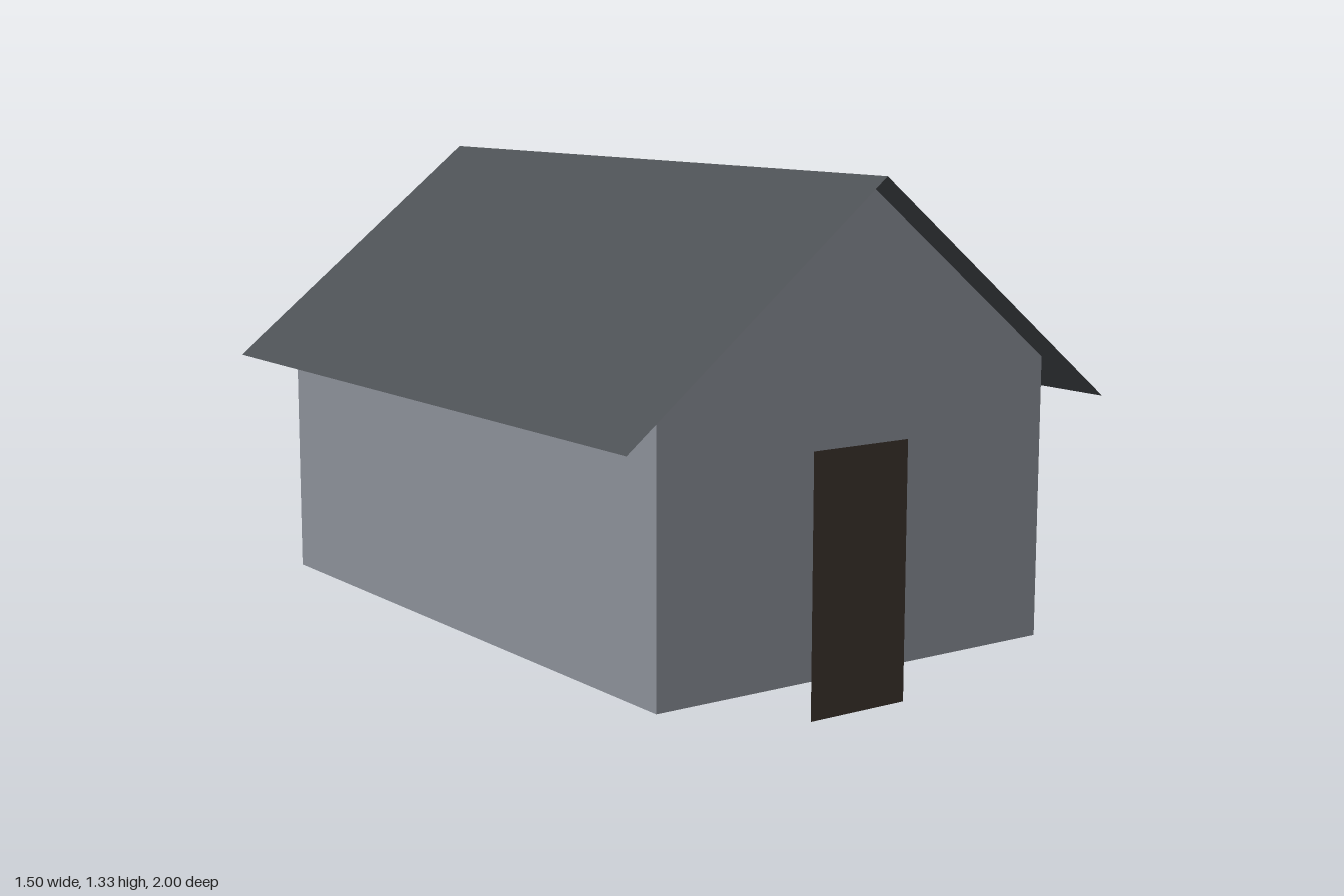
import * as THREE from 'three';

const flat = (name, color) =>
  new THREE.MeshStandardMaterial({ name, color, side: THREE.DoubleSide });

export function createModel() {
  const house = new THREE.Group();
  house.name = 'house';
  const wallGrey = flat('wall grey', 0x8c9099);
  const slate = flat('roof slate', 0x4b4f53);
  const darkWood = flat('dark wood', 0x3d342d);

  const add = (name, geometry, material, x, y, z, rotY = 0) => {
    const mesh = new THREE.Mesh(geometry, material);
    mesh.name = name;
    mesh.position.set(x, y, z);
    mesh.rotation.y = rotY;
    house.add(mesh);
    return mesh;
  };

  const halfW = 0.61, halfL = 0.917, base = 0.1, eave = 0.842, peak = 1.322;
  const roofHalfW = 0.75, ridge = 1.33, roofEdge = 0.737, roofL = 2;

  // Gable end walls, open shell without a floor
  const gable = new THREE.ShapeGeometry(new THREE.Shape([
    new THREE.Vector2(-halfW, base), new THREE.Vector2(halfW, base),
    new THREE.Vector2(halfW, eave), new THREE.Vector2(0, peak),
    new THREE.Vector2(-halfW, eave),
  ]));
  add('frontWall', gable, wallGrey, 0, 0, halfL);
  add('backWall', gable, wallGrey, 0, 0, -halfL, Math.PI);

  // Side walls and sheet roof slopes, mirrored left and right
  const sideWall = new THREE.PlaneGeometry(2 * halfL, eave - base);
  const drop = ridge - roofEdge;
  const slope = new THREE.PlaneGeometry(Math.hypot(roofHalfW, drop), roofL);
  slope.rotateX(-Math.PI / 2);
  for (const [side, s] of [['left', 1], ['right', -1]]) {
    add(side + 'Wall', sideWall, wallGrey, s * halfW, (base + eave) / 2, 0, s * Math.PI / 2);
    const roof = add(side + 'Roof', slope, slate, s * roofHalfW / 2, (ridge + roofEdge) / 2, 0);
    roof.rotation.z = -s * Math.atan2(drop, roofHalfW);
  }

  // Door reaching down to the ground, and one small side window
  add('door', new THREE.PlaneGeometry(0.3, 0.673), darkWood, 0, 0.3365, halfL + 0.005);
  add('window', new THREE.PlaneGeometry(0.172, 0.214), darkWood,
    halfW + 0.005, 0.507, 0.092, Math.PI / 2);

  return house;
}
